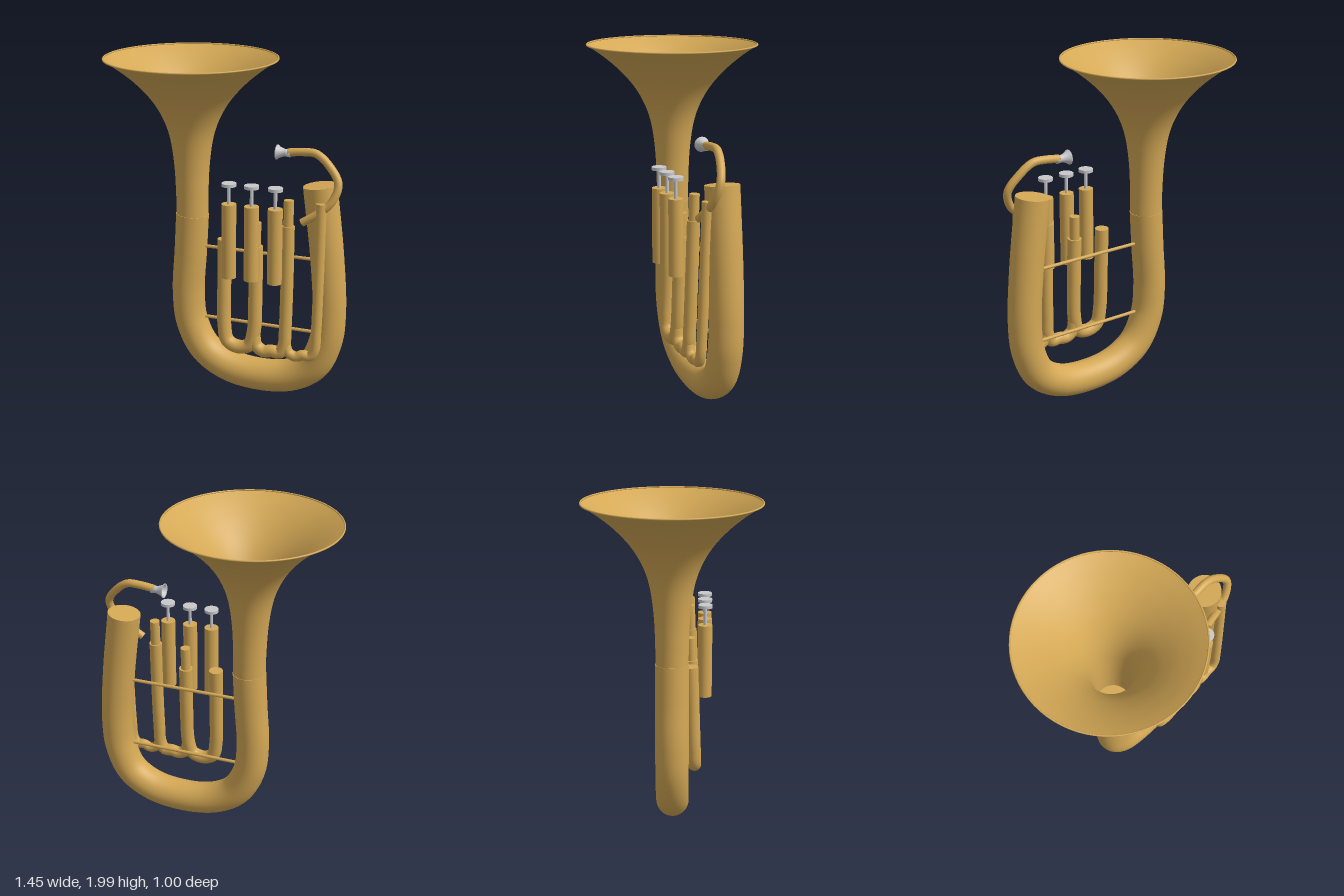
import * as THREE from 'three';

const brass = new THREE.MeshStandardMaterial({ color: 0xd4a855, side: THREE.DoubleSide });
brass.name = 'brass';
const silver = new THREE.MeshStandardMaterial({ color: 0xc8c8cc, side: THREE.DoubleSide });
silver.name = 'silver';

export function createModel() {
  const model = new THREE.Group();
  model.name = 'brassHorn';

  function add(name, geometry, material, x = 0, y = 0, z = 0) {
    const mesh = new THREE.Mesh(geometry, material);
    mesh.name = name;
    mesh.position.set(x, y, z);
    model.add(mesh);
    return mesh;
  }

  // Round tube along a smooth path, closed by a flat disc at each end
  function pipe(name, points, radius, segments = 80, sides = 24) {
    const curve = new THREE.CatmullRomCurve3(points.map(p => new THREE.Vector3(...p)), false, 'centripetal');
    add(name, new THREE.TubeGeometry(curve, segments, radius, sides), brass);
    [0, 1].forEach(t => {
      const p = curve.getPointAt(t);
      const direction = curve.getTangentAt(t).multiplyScalar(t ? 1 : -1);
      const cap = add(name + 'Cap', new THREE.CircleGeometry(radius, sides), brass, p.x, p.y, p.z);
      cap.quaternion.setFromUnitVectors(new THREE.Vector3(0, 0, 1), direction);
    });
  }

  // Smooth lathe profile from [radius, height] pairs
  const smoothProfile = (pairs, n) =>
    new THREE.SplineCurve(pairs.map(p => new THREE.Vector2(...p))).getPoints(n);

  // Flared bell, with a small rolled lip
  const bellProfile = smoothProfile([[0.094, 1.07], [0.095, 1.2], [0.103, 1.37], [0.125, 1.53],
    [0.165, 1.65], [0.23, 1.76], [0.32, 1.86], [0.415, 1.94], [0.496, 1.995]], 48);
  add('bell', new THREE.LatheGeometry(bellProfile, 72), brass, -0.225);
  add('bellLip', new THREE.TorusGeometry(0.495, 0.005, 8, 72).rotateX(Math.PI / 2), brass, -0.225, 1.995);

  // Large U-shaped body tube
  pipe('bodyTube', [[-0.225, 1.075, 0], [-0.238, 0.85, 0], [-0.255, 0.58, 0], [-0.235, 0.39, 0],
    [-0.15, 0.225, 0], [0, 0.132, 0], [0.2, 0.103, 0], [0.4, 0.132, 0], [0.54, 0.225, 0],
    [0.61, 0.39, 0], [0.625, 0.58, 0], [0.603, 0.9, 0], [0.55, 1.325, 0]], 0.097, 140, 36);

  // Valves: casing, stem and finger button
  [0.075, 0.21, 0.35].forEach(x => {
    add('valveCasing', new THREE.CylinderGeometry(0.042, 0.042, 0.44, 32), brass, x, 1.0, 0.19);
    add('valveStem', new THREE.CylinderGeometry(0.01, 0.01, 0.11, 16), silver, x, 1.27, 0.19);
    add('valveButton', new THREE.CylinderGeometry(0.042, 0.042, 0.018, 32), silver, x, 1.333, 0.19);
  });

  // Valve tubing leans forward toward the bottom
  const lean = y => 0.1 + (1.25 - y) * 0.035;
  const leaning = points => points.map(([x, y]) => [x, y, lean(y)]);
  pipe('firstLoop', leaning([[0.018, 0.98], [0.02, 0.7], [0.024, 0.45], [0.045, 0.355], [0.11, 0.325],
    [0.18, 0.345], [0.206, 0.42], [0.213, 0.7], [0.21, 0.96]]), 0.041);
  pipe('secondLoop', leaning([[0.21, 0.42], [0.225, 0.35], [0.27, 0.322], [0.32, 0.33], [0.37, 0.328],
    [0.395, 0.38], [0.4, 0.5], [0.402, 0.8], [0.4, 1.1]]), 0.037);
  pipe('thirdLoop', leaning([[0.4, 0.4], [0.425, 0.335], [0.47, 0.318], [0.51, 0.335], [0.55, 0.332],
    [0.577, 0.37], [0.585, 0.5], [0.588, 0.8], [0.588, 1.25]]), 0.03);

  // Narrower tube ends above the second and third tubes
  [[0.21, 0.9, 1.1], [0.4, 1.05, 1.25]].forEach(([x, low, high]) =>
    pipe('tubeEnd', leaning([[x, low], [x, high]]), 0.029, 4));

  // Cross braces between the two body legs
  [0.88, 0.43].forEach(y => pipe('brace', [[-0.19, y, 0], [0.57, y, 0]], 0.01, 4, 12));

  // Curved lead pipe
  pipe('leadPipe', [[0.365, 1.503, 0.02], [0.45, 1.513, 0.02], [0.53, 1.51, 0.022], [0.61, 1.45, 0.035],
    [0.67, 1.36, 0.06], [0.645, 1.265, 0.085], [0.57, 1.19, 0.1], [0.48, 1.13, 0.105]], 0.023);

  // Mouthpiece with a hollow cup facing the player
  const mouthProfile = [[0.004, 0.045], [0.02, 0.025], [0.034, 0.004], [0.042, 0],
    [0.042, 0.006], [0.034, 0.014], [0.025, 0.035], [0.021, 0.05], [0.024, 0.082], [0.001, 0.082]];
  const mouthpiece = add('mouthpiece',
    new THREE.LatheGeometry(mouthProfile.map(p => new THREE.Vector2(...p)), 32), silver, 0.298, 1.5, 0.02);
  mouthpiece.rotation.z = -Math.PI / 2;

  return model;
}
